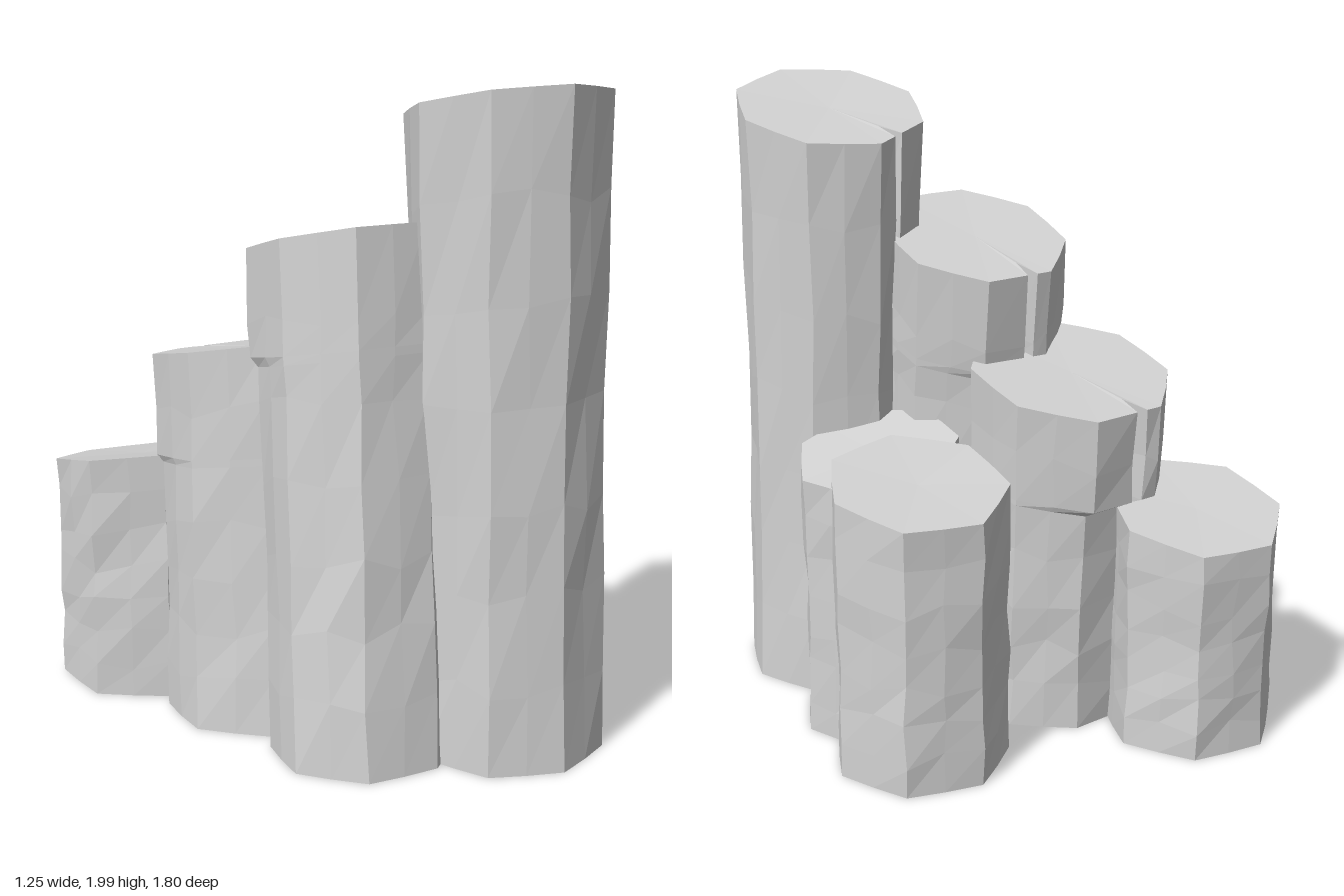
import * as THREE from 'three';

// Small seeded generator for the rock's unevenness
function seeded(seed) {
  let s = seed;
  return () => {
    s = (s * 16807) % 2147483647;
    return s / 2147483647 - 0.5;
  };
}

// Each column is a regular prism: centre [x, z], radius, number of sides and
// turn in degrees; a tilted top (height at centre, slope in x, slope in z),
// how far the foot is shifted and how much the middle narrows. Some have a
// crack (position counted in sides) and a ledge height, below which the back steps inward.
const columns = [
  { name: 'tallFrontColumn', centre: [-0.03, 0.58], radius: 0.3, sides: 8, turn: 20, top: [1.93, -0.12, 0.21], foot: [-0.005, 0.035], waist: 0.05, crack: 5.6 },
  { name: 'leaningColumn', centre: [-0.24, 0.17], radius: 0.295, sides: 8, turn: 2, top: [1.53, -0.12, 0.25], foot: [-0.095, 0.125], waist: 0.01, crack: 6.3, ledge: 1.19 },
  { name: 'middleColumn', centre: [-0.215, -0.21], radius: 0.32, sides: 8, turn: -2, top: [1.155, -0.08, 0.2], foot: [-0.045, 0.05], waist: 0.02, crack: 6.3, ledge: 0.82 },
  { name: 'backColumn', centre: [-0.307, -0.622], radius: 0.278, sides: 7, turn: 18, top: [0.755, -0.1, 0.19], foot: [0, 0], waist: 0.02 },
  { name: 'sideColumn', centre: [0.363, -0.035], radius: 0.28, sides: 7, turn: 24, top: [0.925, -0.1, 0.16], foot: [0, 0], waist: 0.01 },
  { name: 'shortFrontColumn', centre: [0.213, 0.232], radius: 0.258, sides: 7, turn: 25, top: [0.925, -0.22, 0], foot: [0, 0], waist: 0.02 },
];

const BASE = 0.01;

// Outline around the origin, clockwise from above, each side split in two
function outline({ radius, sides, turn, crack }) {
  const corner = (i) => {
    const a = THREE.MathUtils.degToRad(turn + (360 * i) / sides);
    return new THREE.Vector2(Math.cos(a), Math.sin(a)).multiplyScalar(radius);
  };
  const points = [];
  for (let i = 0; i < sides; i++) {
    const a = corner(i);
    const b = corner(i + 1);
    const along = (t) => a.clone().lerp(b, t);
    points.push(a);
    if (crack && Math.floor(crack) === i) {
      // A narrow V cut into the side
      const t = crack - i;
      points.push(along(t - 0.08), along(t).multiplyScalar(0.72), along(t + 0.08));
    } else {
      // Sides bulge very slightly
      points.push(along(0.5).multiplyScalar(1.015));
    }
  }
  return points;
}

function columnGeometry(column, seed) {
  const { centre: [cx, cz], radius, top: [h, sx, sz], foot, waist, ledge } = column;
  const rand = seeded(seed);
  const points = outline(column);
  const n = points.length;
  const levels = [0, 0.13, 0.27, 0.4, 0.55, 0.7, 0.85, 1];
  if (ledge) {
    levels.push(ledge / h - 0.008, ledge / h + 0.008);
    levels.sort((a, b) => a - b);
  }

  // Stacked cross-sections, left even at the two rings of a ledge
  const position = [];
  for (const t of levels) {
    const nearLedge = ledge && Math.abs(t * h - ledge) < 0.03;
    const uneven = t > 0 && t < 1 && !nearLedge ? 1 : 0;
    const pinch = 1 - waist * Math.sin(Math.PI * t);
    for (const p of points) {
      const topY = h + sx * p.x + sz * p.y;
      const back = Math.max(0, -p.y / radius);
      const step = ledge && t * h < ledge ? 0.04 * back : 0;
      position.push(
        cx + p.x * pinch + foot[0] * (1 - t) + rand() * 0.014 * uneven,
        BASE + (topY - BASE) * t + rand() * 0.05 * uneven,
        cz + p.y * pinch + foot[1] * (1 - t) + step + rand() * 0.014 * uneven,
      );
    }
  }
  const topCentre = position.length / 3;
  position.push(cx, h - 0.008, cz);
  position.push(cx + foot[0], BASE, cz + foot[1]);

  // Sides, then the caps
  const index = [];
  const last = (levels.length - 1) * n;
  for (let i = 0; i < n; i++) {
    const j = (i + 1) % n;
    for (let r = 0; r < last; r += n) {
      index.push(r + j, r + i, r + n + i, r + j, r + n + i, r + n + j);
    }
    index.push(topCentre, last + j, last + i);
    index.push(topCentre + 1, i, j);
  }

  const geometry = new THREE.BufferGeometry();
  geometry.setAttribute('position', new THREE.Float32BufferAttribute(position, 3));
  geometry.setIndex(index);
  const flat = geometry.toNonIndexed();
  flat.computeVertexNormals();
  return flat;
}

export function createModel() {
  const group = new THREE.Group();
  group.name = 'rockColumns';
  const stone = new THREE.MeshStandardMaterial({ color: 0xd2d2d2 });
  stone.name = 'greyStone';
  columns.forEach((column, i) => {
    const mesh = new THREE.Mesh(columnGeometry(column, 1237 * (i + 3)), stone);
    mesh.name = column.name;
    group.add(mesh);
  });
  return group;
}
